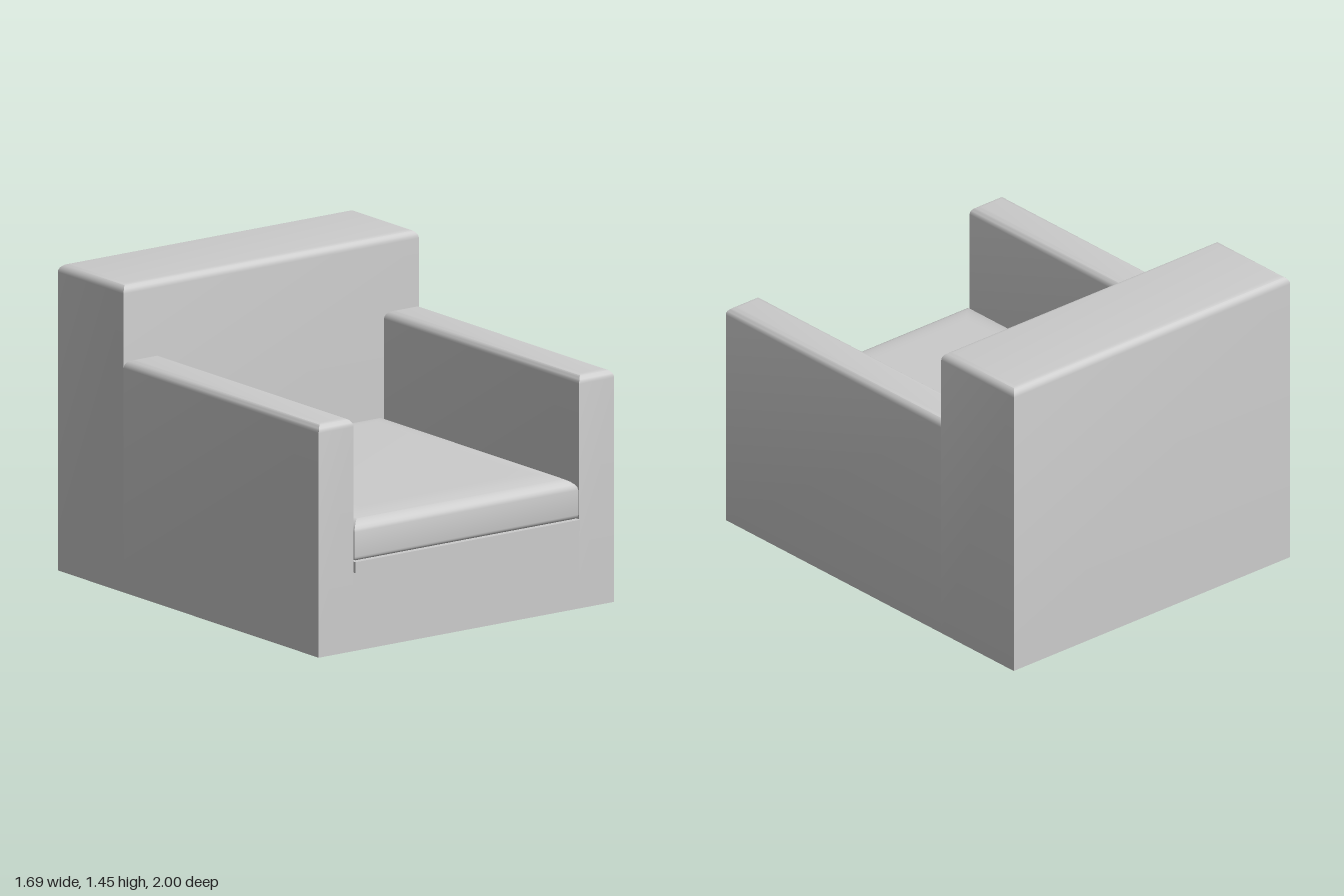
import * as THREE from 'three';
import { toCreasedNormals } from 'three/addons/utils/BufferGeometryUtils.js';

const material = new THREE.MeshStandardMaterial({ color: 0xcccccc });

// Rectangular block lofted through [inset, y] rings, mitred at the corners.
function mitredBlock(x0, x1, z0, z1, rings) {
  const pos = [], index = [];
  for (const [d, y] of rings) {
    pos.push(x0 + d, y, z1 - d, x1 - d, y, z1 - d, x1 - d, y, z0 + d, x0 + d, y, z0 + d);
  }
  for (let r = 0; r < rings.length - 1; r++) {
    for (let i = 0; i < 4; i++) {
      const a = r * 4 + i, b = r * 4 + (i + 1) % 4;
      index.push(a, b, b + 4, a, b + 4, a + 4);
    }
  }
  const t = (rings.length - 1) * 4;
  index.push(t, t + 1, t + 2, t, t + 2, t + 3, 0, 2, 1, 0, 3, 2);
  const geo = new THREE.BufferGeometry();
  geo.setAttribute('position', new THREE.Float32BufferAttribute(pos, 3));
  geo.setIndex(index);
  return toCreasedNormals(geo, 0.6);
}

// Quarter-ellipse profile from the side wall over to the top face.
function roundedTop(top, width, height, steps) {
  const rings = [];
  for (let i = 0; i <= steps; i++) {
    const a = (i / steps) * Math.PI / 2;
    rings.push([width * (1 - Math.cos(a)), top - height * (1 - Math.sin(a))]);
  }
  return rings;
}

export function createModel() {
  const group = new THREE.Group();
  const add = (name, geo) => {
    const mesh = new THREE.Mesh(geo, material);
    mesh.name = name;
    group.add(mesh);
  };

  // Frame: backrest, two armrests and the base between them
  add('backrest', mitredBlock(-0.845, 0.845, -1, -0.5, [[0, 0], ...roundedTop(1.45, 0.04, 0.04, 6)]));
  const armRings = [[0, 0], ...roundedTop(1.1, 0.04, 0.04, 6)];
  add('leftArmrest', mitredBlock(0.645, 0.845, -0.5, 0.985, armRings));
  add('rightArmrest', mitredBlock(-0.845, -0.645, -0.5, 0.985, armRings));
  add('base', mitredBlock(-0.645, 0.645, -0.5, 0.985, [[0, 0], [0, 0.37]]));

  // Seat deck, with its front lip standing slightly proud of the base
  add('seatDeck', mitredBlock(-0.643, 0.643, -0.5, 0.996, [[0, 0.37], [0, 0.422]]));

  // Cushion: small rounding below, broad soft crown above
  const lower = roundedTop(0.422, 0.022, -0.022, 4).reverse();
  add('seatCushion', mitredBlock(-0.64, 0.64, -0.5, 0.985, [...lower, ...roundedTop(0.63, 0.16, 0.07, 8)]));

  return group;
}
